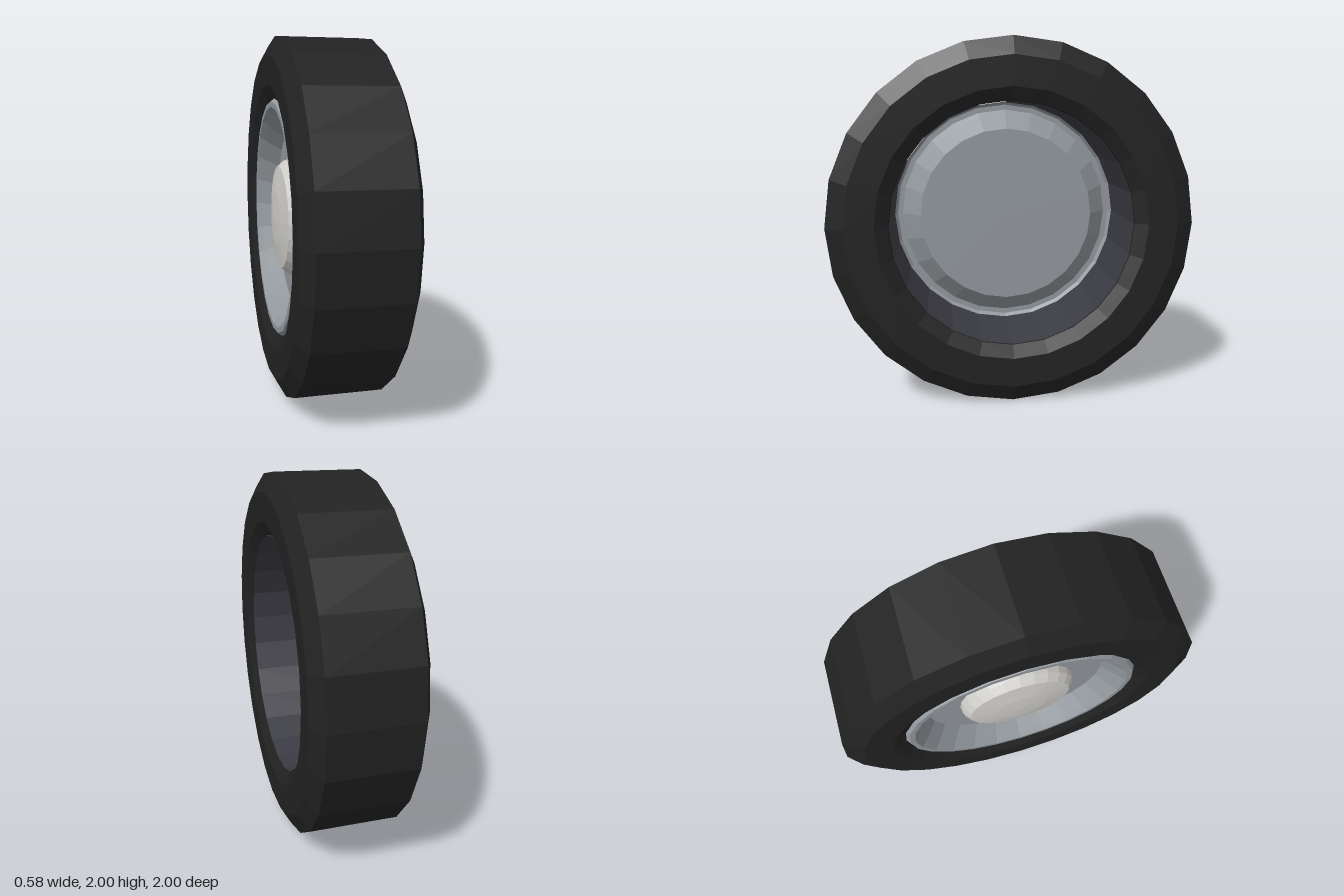
import * as THREE from 'three';

const SIDES = 24;

// Revolves a [radius, offset] profile; positive offsets become the outer (-x) side.
function turned(name, color, profile, side = THREE.FrontSide) {
  const points = profile.map(([r, t]) => new THREE.Vector2(r, t));
  const geometry = new THREE.LatheGeometry(points, SIDES);
  geometry.rotateZ(Math.PI / 2);
  const material = new THREE.MeshStandardMaterial({ color, flatShading: true, side });
  const mesh = new THREE.Mesh(geometry, material);
  mesh.name = name;
  return mesh;
}

export function createModel() {
  const wheel = new THREE.Group();
  wheel.name = 'wheel';

  // Tyre: closed section with bevelled shoulders and dished beads
  const half = [[1, 0.235], [0.9, 0.29], [0.74, 0.285], [0.67, 0.25]];
  const mirrored = half.map(([r, t]) => [r, -t]).reverse();
  wheel.add(turned('tyre', 0x222222, [...mirrored, ...half, mirrored[0]]));

  // Barrel lining the inside of the tyre
  wheel.add(turned('barrel', 0x3c3c44, [[0.665, -0.25], [0.665, 0.24]], THREE.DoubleSide));

  // Rim: rolled lip, sloping dish and flat centre plate
  wheel.add(turned('rim', 0x92989d, [
    [0.667, 0.24], [0.65, 0.262], [0.62, 0.262], [0.59, 0.23], [0.51, 0.14], [0, 0.14],
  ], THREE.DoubleSide));

  // Hub cap: bevelled edge and shallow domed face
  wheel.add(turned('hubCap', 0xcfcdc9, [
    [0.33, 0.142], [0.325, 0.18], [0.29, 0.22], [0.15, 0.242], [0, 0.25],
  ]));

  wheel.position.y = 1;
  const model = new THREE.Group();
  model.name = 'model';
  model.add(wheel);
  return model;
}
